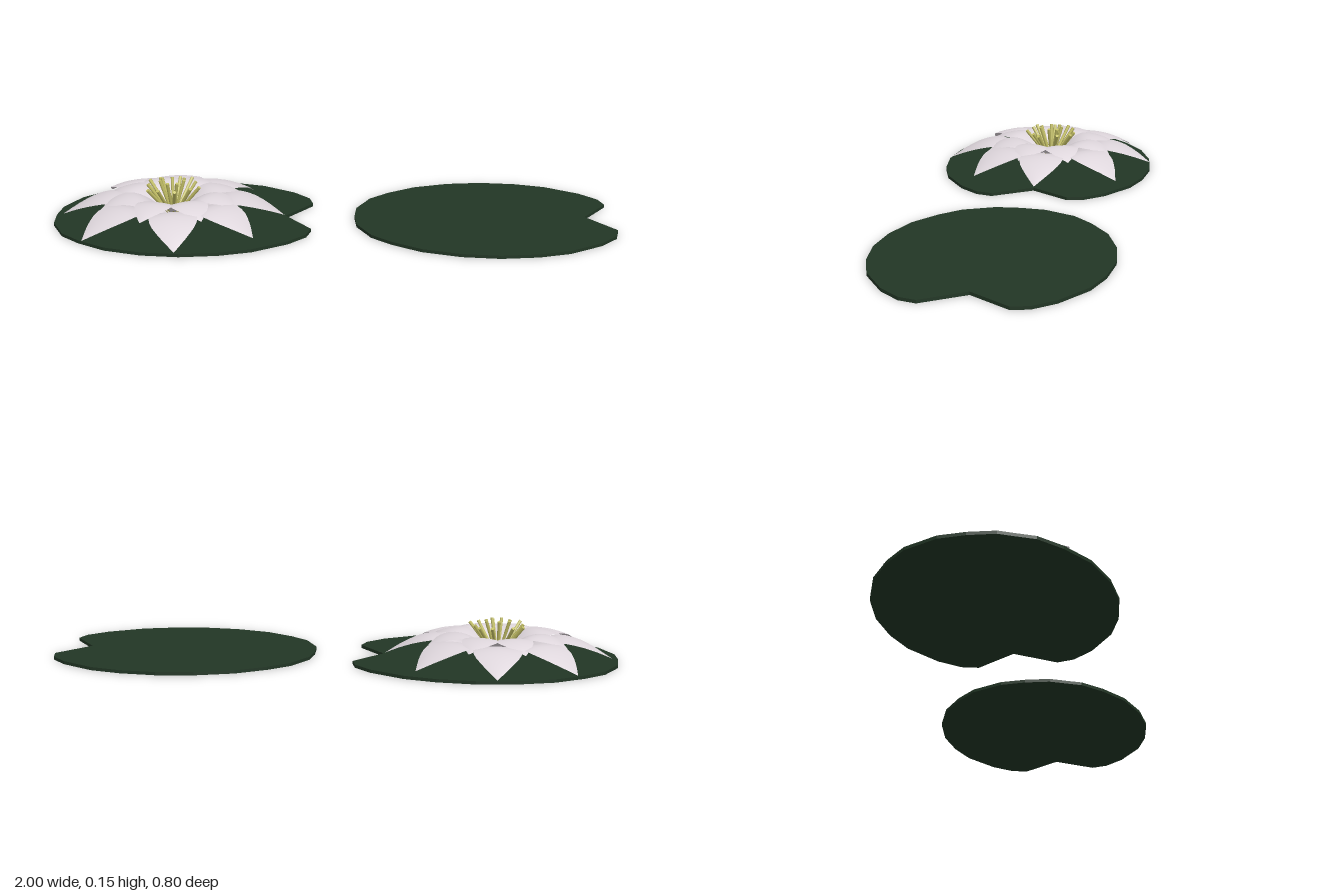
import * as THREE from 'three';

const V = (x, y, z) => new THREE.Vector3(x, y, z);

// Petal pointing along +z; each station is (half width, height, distance from centre)
function petalGeometry(stations, droop) {
  const curve = new THREE.CatmullRomCurve3(stations);
  const g = new THREE.PlaneGeometry(1, 1, 6, 14).rotateX(-Math.PI / 2);
  const p = g.attributes.position;
  for (let i = 0; i < p.count; i++) {
    const s = p.getX(i) * 2;
    const c = curve.getPoint(Math.min(1, Math.max(0, p.getZ(i) + 0.5)));
    const w = Math.max(0, c.x);
    p.setXYZ(i, s * w, c.y - droop * w * s * s, c.z);
  }
  g.computeVertexNormals();
  return g;
}

// Flat leaf with a V notch on its +x side
function padGeometry() {
  const half = [[0.435, 0.14], [0.42, 0.2], [0.36, 0.27], [0.24, 0.35], [0.13, 0.385], [0, 0.4],
    [-0.13, 0.385], [-0.26, 0.34], [-0.36, 0.27], [-0.43, 0.2], [-0.45, 0.155], [-0.48, 0.09], [-0.487, 0]];
  const mirrored = half.slice(0, -1).reverse().map(([x, y]) => [x, -y]);
  const pts = [[0.34, 0], ...half, ...mirrored].map(([x, y]) => new THREE.Vector2(x, y));
  return new THREE.ExtrudeGeometry(new THREE.Shape(pts), { depth: 0.011, bevelEnabled: false })
    .rotateX(-Math.PI / 2);
}

export function createModel() {
  const root = new THREE.Group();
  root.name = 'waterLilies';
  const mat = (name, color, side = THREE.FrontSide) => {
    const m = new THREE.MeshStandardMaterial({ color, side });
    m.name = name;
    return m;
  };
  const green = mat('leafGreen', 0x223625);
  const white = mat('petalWhite', 0xded6dc, THREE.DoubleSide);
  const yellow = mat('stamenYellow', 0xc6c268);
  const add = (parent, name, geo, material) => {
    const m = new THREE.Mesh(geo, material);
    m.name = name;
    parent.add(m);
    return m;
  };

  // Two floating pads
  const pad = padGeometry();
  add(root, 'leftPad', pad, green).position.x = 0.56;
  add(root, 'rightPad', pad, green).position.x = -0.515;

  const flower = new THREE.Group();
  flower.name = 'flower';
  flower.position.x = -0.58;
  root.add(flower);

  // Outer petals arch up and bend down to the pad
  const outer = petalGeometry([V(0.012, 0.014, 0), V(0.035, 0.035, 0.07), V(0.062, 0.07, 0.14),
    V(0.082, 0.088, 0.21), V(0.078, 0.078, 0.275), V(0.045, 0.05, 0.34), V(0, 0.014, 0.4)], 0.1);
  const tips = [[0.4, 0], [0.305, 0.25], [0.05, 0.395], [-0.28, 0.285], [-0.4, 0],
    [-0.27, -0.29], [-0.005, -0.395], [0.27, -0.29]];
  const angles = tips.map(([x, z]) => Math.atan2(x, z));
  tips.forEach(([x, z], i) => {
    const m = add(flower, 'outerPetal', outer, white);
    m.rotation.y = angles[i];
    m.scale.z = Math.hypot(x, z) / 0.4;
  });

  // Shorter inner petals fill the gaps
  const inner = petalGeometry([V(0.012, 0.016, 0), V(0.035, 0.055, 0.05), V(0.06, 0.09, 0.1),
    V(0.068, 0.102, 0.14), V(0.058, 0.098, 0.185), V(0.034, 0.086, 0.225), V(0, 0.066, 0.262)], 0.1);
  tips.forEach(([x, z], i) => {
    const [x2, z2] = tips[(i + 1) % tips.length];
    add(flower, 'innerPetal', inner, white).rotation.y = Math.atan2(x + x2, z + z2);
  });

  // Stamens fan out from the centre
  const up = V(0, 1, 0);
  const ring = (count, radius, height, turn) => {
    for (let i = 0; i < count; i++) {
      const a = turn + (i / count) * Math.PI * 2 + 0.12 * Math.sin(i * 2.3);
      const r = radius * (1 + 0.1 * Math.sin(i * 3.7));
      const start = V(0, 0.004, 0);
      const end = V(Math.sin(a) * r, height, Math.cos(a) * r);
      const dir = end.clone().sub(start);
      const m = add(flower, 'stamen', new THREE.CylinderGeometry(0.0065, 0.005, dir.length(), 6), yellow);
      m.position.copy(start).add(end).multiplyScalar(0.5);
      m.quaternion.setFromUnitVectors(up, dir.normalize());
    }
  };
  ring(11, 0.098, 0.128, 0.2);
  ring(7, 0.045, 0.143, 0.5);

  return root;
}
